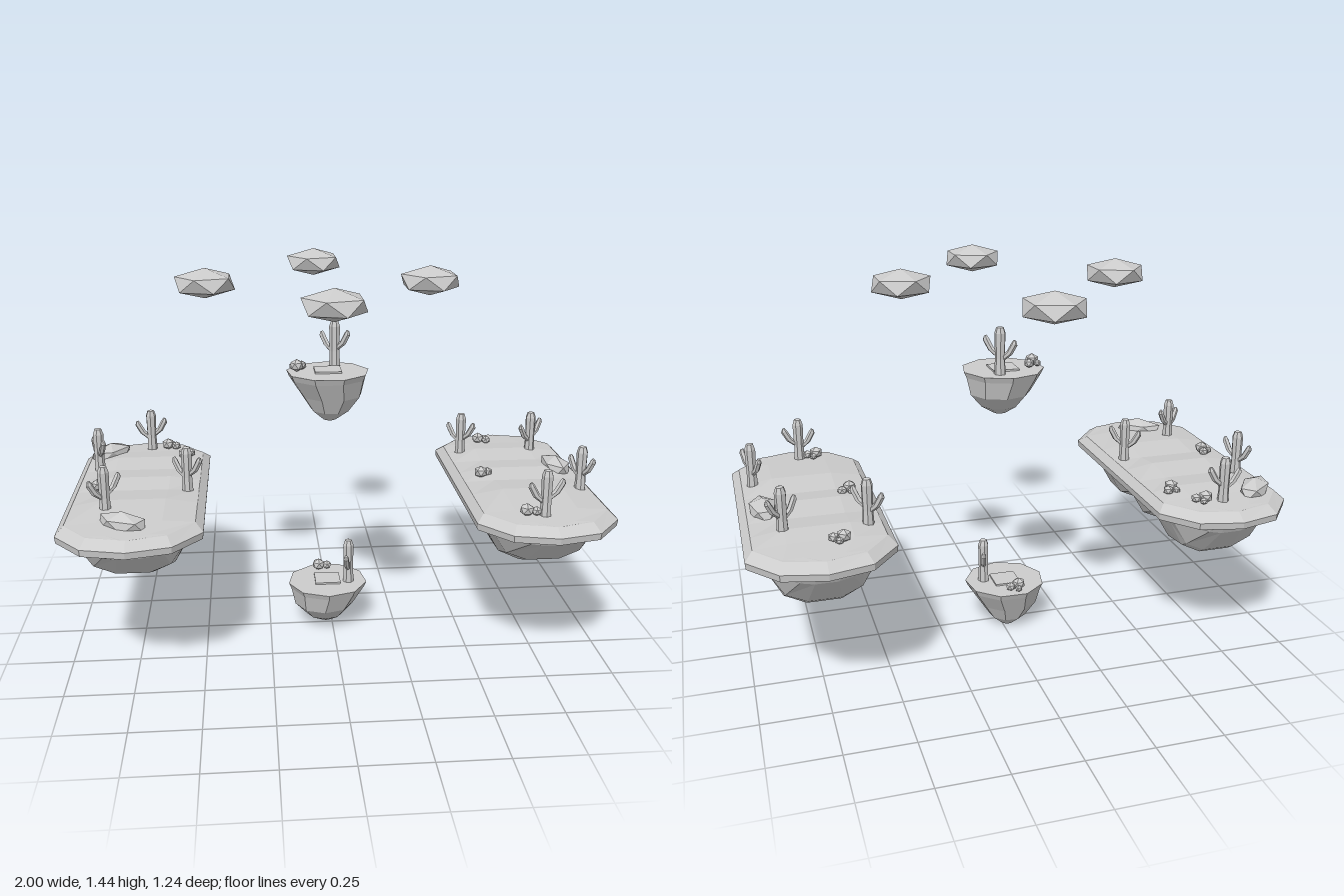
import * as THREE from 'three';

const mat = new THREE.MeshStandardMaterial({ color: 0xcccccc, flatShading: true });
const V = (x, y, z) => new THREE.Vector3(x, y, z);

function add(parent, geo, name, x = 0, y = 0, z = 0) {
  const m = new THREE.Mesh(geo, mat);
  m.name = name;
  m.position.set(x, y, z);
  parent.add(m);
  return m;
}

// Skin a row of cross-sections; closed rings may get end caps
function loft(rows, closed = false) {
  const pos = [];
  const tri = (...p) => p.forEach(v => pos.push(v.x, v.y, v.z));
  const n = rows[0].length, last = closed ? n : n - 1;
  for (let r = 0; r < rows.length - 1; r++) {
    for (let i = 0; i < last; i++) {
      const j = (i + 1) % n, a = rows[r], b = rows[r + 1];
      tri(a[i], b[i], a[j]);
      tri(a[j], b[i], b[j]);
    }
  }
  if (closed) {
    [rows[0], rows[rows.length - 1]].forEach((ring, top) => {
      const c = ring.reduce((s, p) => s.add(p), V(0, 0, 0)).divideScalar(n);
      ring.forEach((p, i) => {
        const q = ring[(i + 1) % n];
        top ? tri(c, q, p) : tri(c, p, q);
      });
    });
  }
  const g = new THREE.BufferGeometry();
  g.setAttribute('position', new THREE.Float32BufferAttribute(pos, 3));
  g.computeVertexNormals();
  return g;
}

// Icosahedron standing on a corner, scaled per axis
function gem(sx, sy, sz) {
  return new THREE.IcosahedronGeometry(1, 0)
    .rotateZ(Math.atan(2 / (1 + Math.sqrt(5)))).scale(sx, sy, sz);
}

// Cactus whose two arms spread along the direction (dx, dz)
function cactus(parent, x, y, z, dx, dz) {
  const g = new THREE.Group();
  g.name = 'cactus';
  g.position.set(x, y, z);
  g.rotation.y = -Math.atan2(dz, dx);
  const profile = [[0, 0], [0.022, 0], [0.019, 0.06], [0.021, 0.155], [0.014, 0.176], [0, 0.18]];
  add(g, new THREE.LatheGeometry(profile.map(p => new THREE.Vector2(...p)), 7), 'cactusTrunk');
  for (const s of [-1, 1]) {
    const lift = s > 0 ? 0.012 : 0;
    const rows = [[0.005, 0.055, 0.009], [0.036, 0.082, 0.011], [0.056, 0.118, 0.011], [0.058, 0.13, 0.005]]
      .map(([ax, ay, r]) => Array.from({ length: 6 }, (_, i) => {
        const a = i * Math.PI / 3;
        return V(s * ax + r * Math.cos(a), ay + lift - s * r * 0.5 * Math.cos(a), r * Math.sin(a));
      }));
    add(g, loft(rows, true), 'cactusArm');
  }
  parent.add(g);
}

// Two or three little stones huddled together
function stones(parent, x, y, z, angle = 0) {
  const g = new THREE.Group();
  g.name = 'stoneCluster';
  g.position.set(x, y, z);
  g.rotation.y = angle;
  [[-0.012, 0.014, 0, 0.027], [0.022, 0.008, 0.008, 0.02], [0.006, 0.006, -0.022, 0.015]]
    .forEach(([a, b, c, r]) => add(g, gem(r, r * 0.9, r), 'stone', a, b, c));
  parent.add(g);
}

// Low boulder, long axis turned by angle
function boulder(parent, x, y, z, angle) {
  add(parent, gem(0.105, 0.045, 0.055), 'boulder', x, y, z).rotation.y = angle;
}

function largeIsland(x) {
  const g = new THREE.Group();
  g.name = 'largeIsland';
  // Rim: a long slab with faceted ends and a bevelled top edge
  const half = [[0.257, 0.43], [0.155, 0.555], [0, 0.593], [-0.155, 0.555], [-0.257, 0.43]];
  const outline = [...half, ...half.map(([a, b]) => [-a, -b])];
  const ring = (y, kx, kz) => outline.map(([a, b]) => V(x + a * kx, y, b * kz - 0.007));
  add(g, loft([ring(0.56, 0.99, 0.995), ring(0.585, 1, 1), ring(0.612, 0.89, 0.925)], true), 'islandRim');
  // Gently rolling ground
  const ground = [[-0.55, 0.02, 0.612], [-0.51, 0.138, 0.615], [-0.405, 0.228, 0.622], [-0.3, 0.228, 0.633],
    [-0.18, 0.228, 0.618], [-0.05, 0.228, 0.634], [0.06, 0.228, 0.618], [0.2, 0.228, 0.635],
    [0.39, 0.228, 0.622], [0.5, 0.138, 0.615], [0.54, 0.02, 0.612]];
  add(g, loft(ground.map(([z, w, h]) =>
    [[-1, 0], [-0.5, 0.9], [0.5, 0.9], [1, 0]].map(([a, k]) => V(x + a * w, 0.613 + (h - 0.613) * k, z)))), 'ground');
  // Rocky underside with three hanging lobes: z, half width, depth
  const under = [[-0.535, 0.1, 0], [-0.51, 0.13, 0.05], [-0.42, 0.195, 0.155], [-0.39, 0.2, 0.175], [-0.3, 0.22, 0.175],
    [-0.17, 0.195, 0.12], [-0.06, 0.22, 0.173], [0.055, 0.195, 0.12], [0.18, 0.22, 0.175],
    [0.3, 0.215, 0.175], [0.385, 0.2, 0.14], [0.515, 0.125, 0.03], [0.53, 0.1, 0]];
  const section = [[1, 0], [0.95, 0.2], [0.68, 0.75], [0.3, 0.96], [-0.3, 0.96], [-0.68, 0.75], [-0.95, 0.2], [-1, 0]];
  add(g, loft(under.map(([z, w, d]) => section.map(([a, k]) => V(x + a * w, 0.562 - d * k / 0.96, z)))), 'islandUnderside');
  return g;
}

function smallIsland(y, z, turn) {
  const g = new THREE.Group();
  g.name = 'smallIsland';
  g.position.set(-0.018, y, z);
  // Rings: height, radius, sideways offset in x and z (tip leans off centre)
  const rows = [[0, 0.025, -0.005, -0.022], [0.035, 0.075, -0.01, -0.01], [0.09, 0.118, -0.014, 0.004],
    [0.158, 0.148, 0, 0], [0.18, 0.158, 0, 0]]
    .map(([h, r, ox, oz]) => Array.from({ length: 9 }, (_, i) => {
      const a = i * Math.PI * 2 / 9 + turn + 0.2;
      const c = Math.cos(turn);
      return V(ox * c + r * Math.cos(a), h, oz * c + r * Math.sin(a));
    }));
  add(g, loft(rows, true), 'smallIslandRock');
  add(g, new THREE.BoxGeometry(0.1, 0.012, 0.1), 'groundPatch', 0, 0.181, -0.005);
  return g;
}

export function createModel() {
  const root = new THREE.Group();
  root.name = 'floatingIslands';

  const right = largeIsland(-0.743), left = largeIsland(0.743);
  root.add(right, left);
  [[-0.917, -0.2, 0.5, 1], [-0.73, -0.455, 1, 0.05], [-0.555, 0.07, 1, 0.6], [-0.84, 0.27, 1, -0.6]]
    .forEach(([x, z, dx, dz]) => cactus(right, x, 0.61, z, dx, dz));
  [[0.565, -0.3, 1, 0.75], [0.86, -0.295, 1, -0.65], [0.93, 0.185, 0.55, 1], [0.725, 0.44, 1, 0]]
    .forEach(([x, z, dx, dz]) => cactus(left, x, 0.61, z, dx, dz));
  [[-0.65, -0.45, 0], [-0.58, -0.325, 1.1], [-0.895, 0.04, 1.6]]
    .forEach(([x, z, a]) => stones(right, x, 0.625, z, a));
  [[0.68, -0.425, 0], [0.592, 0.01, 0.8], [0.67, 0.435, 0.2]]
    .forEach(([x, z, a]) => stones(left, x, 0.625, z, a));
  boulder(right, -0.895, 0.622, -0.39, 0.8);
  boulder(right, -0.765, 0.622, 0.41, -0.55);
  boulder(left, 0.91, 0.622, -0.08, 1.65);

  // Small islands, one low and one high
  const low = smallIsland(0.004, -0.015, 0), high = smallIsland(0.876, 0.015, Math.PI);
  cactus(low, 0.083, 0.18, 0.015, 0.25, -1);
  stones(low, -0.018, 0.19, -0.105, 0.4);
  cactus(high, 0.033, 0.18, -0.08, 1, 0.7);
  stones(high, -0.112, 0.19, -0.01, 1.2);
  root.add(low, high);

  // Floating faceted rocks
  [[-0.465, 0.025], [-0.035, -0.52], [0.36, 0.025], [-0.035, 0.515]]
    .forEach(([x, z]) => add(root, gem(0.122, 0.055, 0.122), 'floatingRock', x, 1.393, z));
  return root;
}
